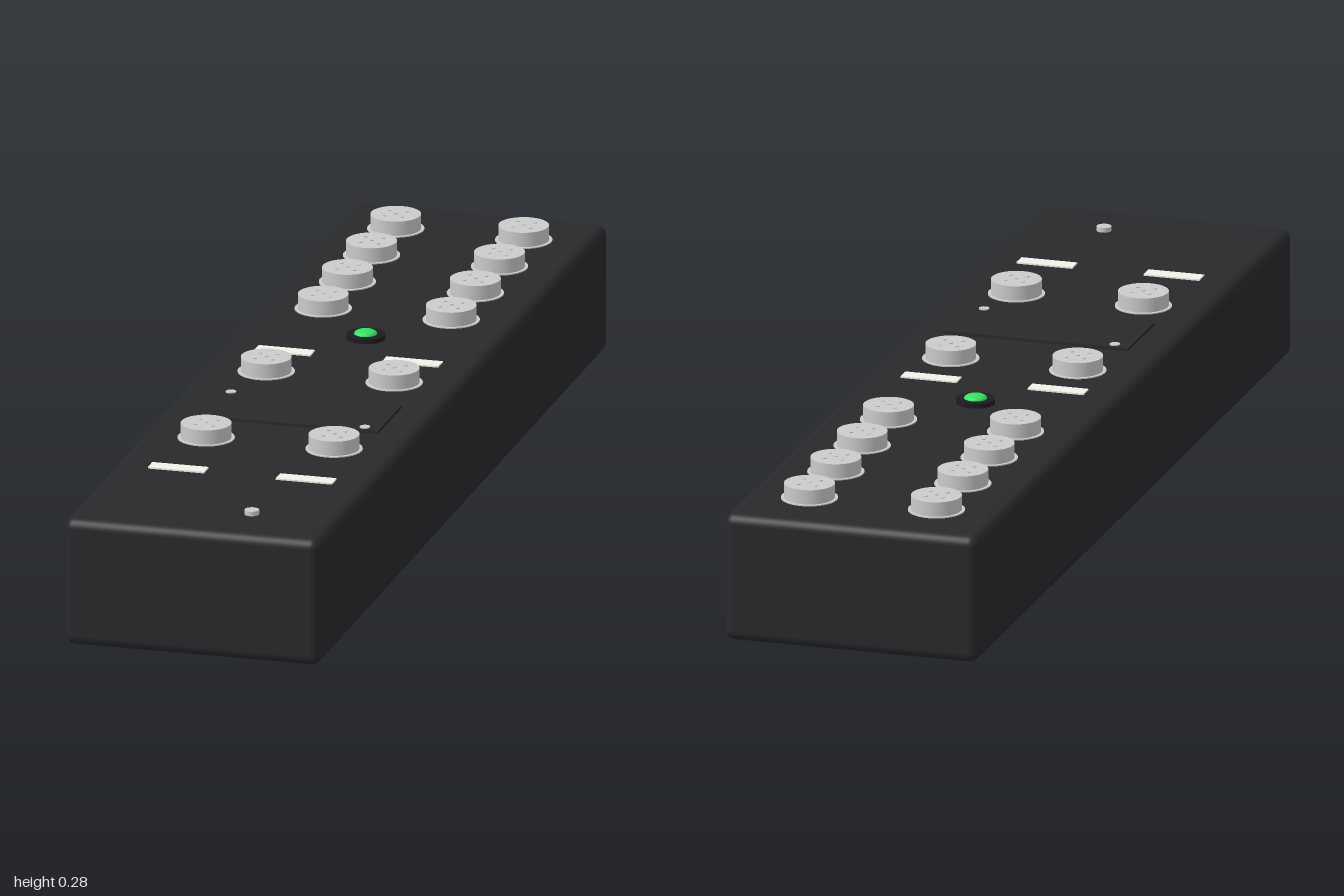
import * as THREE from 'three';
import { RoundedBoxGeometry } from 'three/addons/geometries/RoundedBoxGeometry.js';

const TOP = 0.25; // height of the housing's upper face

const material = (color) => new THREE.MeshStandardMaterial({ color });

export function createModel() {
  const model = new THREE.Group();
  const grey = material(0xcccccc);
  const black = material(0x29292c);
  const dark = material(0x1c1c1e);
  const white = material(0xf2f2ea);
  const green = material(0x33e060);

  const add = (parent, name, geometry, mat, x, y, z) => {
    const mesh = new THREE.Mesh(geometry, mat);
    mesh.name = name;
    mesh.position.set(x, y, z);
    parent.add(mesh);
    return mesh;
  };
  // Disc standing on height y
  const disc = (parent, name, r, h, mat, x, y, z, sides = 32) =>
    add(parent, name, new THREE.CylinderGeometry(r, r, h, sides), mat, x, y + h / 2, z);

  // Housing with rounded edges
  add(model, 'housing', new RoundedBoxGeometry(0.5, TOP, 2, 4, 0.02), black, 0, TOP / 2, 0);

  // Round connector: flange, barrel and five contact pins
  function connector(x, z) {
    const g = new THREE.Group();
    g.name = 'connector';
    g.position.set(x, TOP, z);
    disc(g, 'connectorFlange', 0.054, 0.002, grey, 0, 0, 0);
    disc(g, 'connectorBarrel', 0.048, 0.028, grey, 0, 0.002, 0);
    disc(g, 'contactPin', 0.004, 0.0015, grey, 0, 0.03, 0, 10);
    for (let i = 0; i < 4; i++) {
      const a = Math.PI / 4 + (i * Math.PI) / 2;
      disc(g, 'contactPin', 0.004, 0.0015, grey, 0.024 * Math.cos(a), 0.03, 0.024 * Math.sin(a), 10);
    }
    model.add(g);
  }

  for (const x of [-0.125, 0.125]) {
    for (const z of [-0.855, -0.688, -0.521, -0.354, 0.04, 0.455]) connector(x, z);
    // Marking labels
    for (const z of [-0.086, 0.648])
      add(model, 'label', new THREE.BoxGeometry(0.11, 0.003, 0.032), white, x, TOP + 0.0015, z);
  }

  // Status lamp: bezel ring with a shallow dome lens
  disc(model, 'lampBezel', 0.037, 0.009, dark, 0, TOP, -0.205);
  const lens = add(model, 'lampLens',
    new THREE.SphereGeometry(0.022, 24, 8, 0, Math.PI * 2, 0, Math.PI / 2), green, 0, TOP + 0.009, -0.205);
  lens.scale.y = 0.4;

  // Access cover with two screws at opposite corners
  add(model, 'accessCover', new THREE.BoxGeometry(0.36, 0.006, 0.166), black, 0, TOP + 0.003, 0.263);
  for (const s of [-1, 1])
    disc(model, 'coverScrew', 0.01, 0.002, grey, 0.15 * s, TOP + 0.006, 0.263 + 0.068 * s, 16);

  // Earthing screw near the front end
  disc(model, 'earthScrew', 0.014, 0.009, grey, 0.083, TOP, 0.875, 20);

  return model;
}
